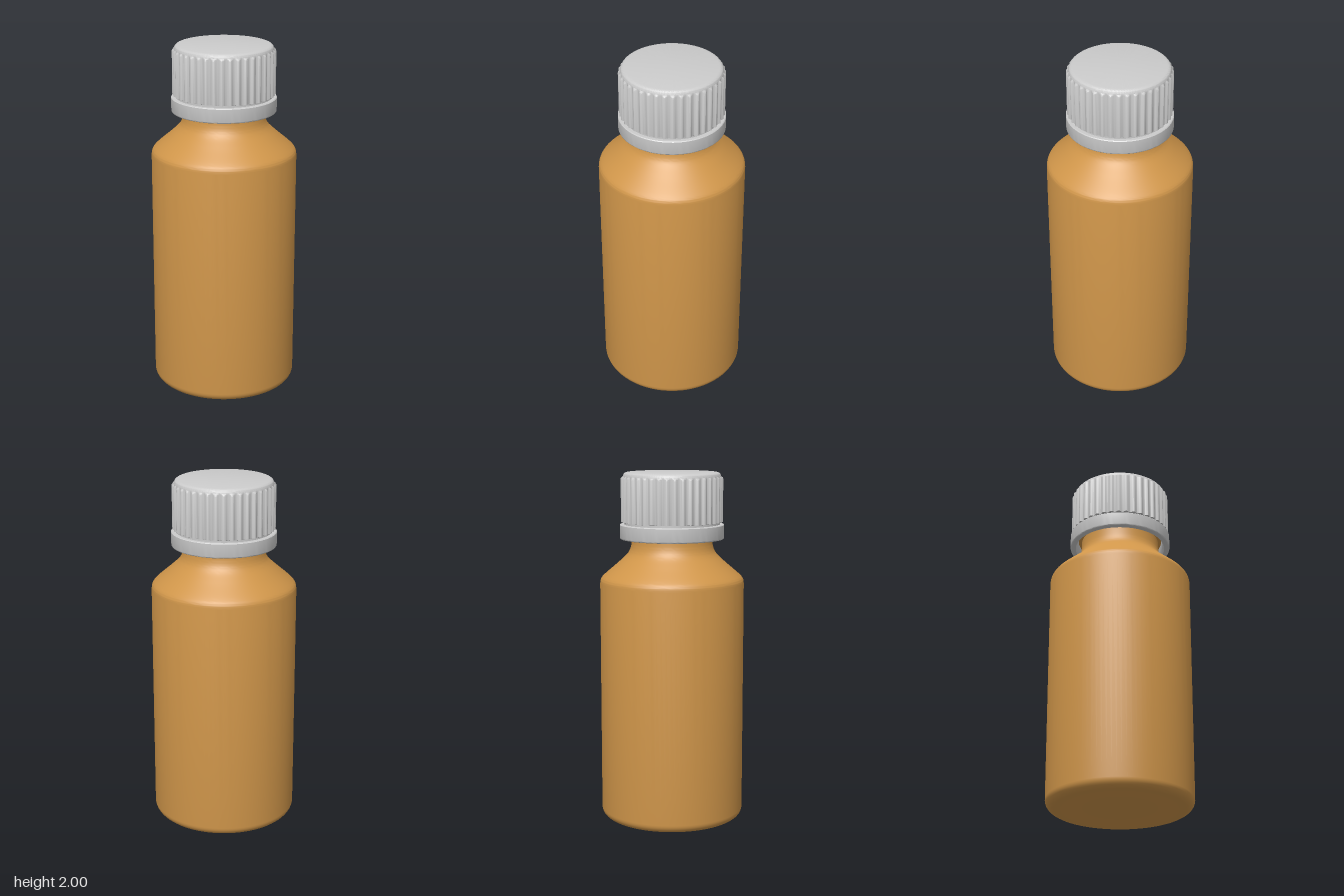
import * as THREE from 'three';
import { toCreasedNormals } from 'three/addons/utils/BufferGeometryUtils.js';

const RIBS = 40;
const v = (x, y) => new THREE.Vector2(x, y);

// Points along a rounded corner from angle a to b (degrees)
function arc(cx, cy, r, a, b, n = 6) {
  return Array.from({ length: n + 1 }, (_, i) => {
    const t = THREE.MathUtils.degToRad(a + ((b - a) * i) / n);
    return v(cx + r * Math.cos(t), cy + r * Math.sin(t));
  });
}

function turned(name, points, color, segments = 96, deform) {
  const geometry = new THREE.LatheGeometry(points, segments);
  if (deform) deform(geometry.attributes.position);
  const mesh = new THREE.Mesh(
    toCreasedNormals(geometry, 0.7),
    new THREE.MeshStandardMaterial({ color, side: THREE.DoubleSide })
  );
  mesh.name = name;
  return mesh;
}

// Push the skirt in and out so it forms rounded grip ribs
function addRibs(position) {
  for (let i = 0; i < position.count; i++) {
    const x = position.getX(i), y = position.getY(i), z = position.getZ(i);
    const r = Math.hypot(x, z);
    if (r < 0.284) continue;
    const wave = 0.5 + 0.5 * Math.cos(RIBS * Math.atan2(x, z));
    const k = (0.277 + (r - 0.277) * wave) / r;
    position.setXYZ(i, x * k, y, z * k);
  }
}

export function createModel() {
  const group = new THREE.Group();
  group.name = 'bottle';
  const amber = 0xd0964a, grey = 0xcccccc;

  // Bottle: rounded foot, straight wall, curved shoulder, neck
  const shoulder = new THREE.SplineCurve([
    v(0.411, 1.37), v(0.406, 1.395), v(0.385, 1.42), v(0.307, 1.487),
    v(0.254, 1.538), v(0.234, 1.58), v(0.228, 1.63),
  ]).getPoints(36);
  group.add(turned('bottleBody', [
    v(0, 0.008), v(0.3, 0.008), v(0.325, 0), v(0.361, 0),
    ...arc(0.361, 0.05, 0.05, -90, 0, 8).slice(1),
    ...shoulder,
    // transfer bead and threaded neck, hidden inside the cap
    v(0.228, 1.66), v(0.247, 1.67), v(0.247, 1.69), v(0.228, 1.7),
    v(0.228, 1.93), v(0.2, 1.93), v(0.2, 1.7),
  ], amber));

  // Tamper band under the cap
  group.add(turned('tamperBand', [
    v(0.255, 1.706), v(0.255, 1.64), v(0.265, 1.622), v(0.288, 1.622),
    ...arc(0.288, 1.63, 0.008, -90, 0, 3).slice(1),
    v(0.296, 1.702), v(0.292, 1.706), v(0.255, 1.706),
  ], grey));

  // Narrow bridge joining band and cap
  group.add(turned('bandBridge', [
    v(0.255, 1.7), v(0.272, 1.7), v(0.272, 1.725), v(0.255, 1.725), v(0.255, 1.7),
  ], grey));

  // Hollow screw cap with ribbed skirt and rounded rim
  group.add(turned('cap', [
    v(0, 1.94), v(0.25, 1.94), v(0.25, 1.718), v(0.277, 1.718),
    v(0.29, 1.72), v(0.29, 1.962), v(0.288, 1.968), v(0.277, 1.976),
    ...arc(0.255, 1.976, 0.022, 0, 90, 6).slice(1),
    v(0.25, 1.999), v(0, 2),
  ], grey, RIBS * 10, addRibs));

  return group;
}
